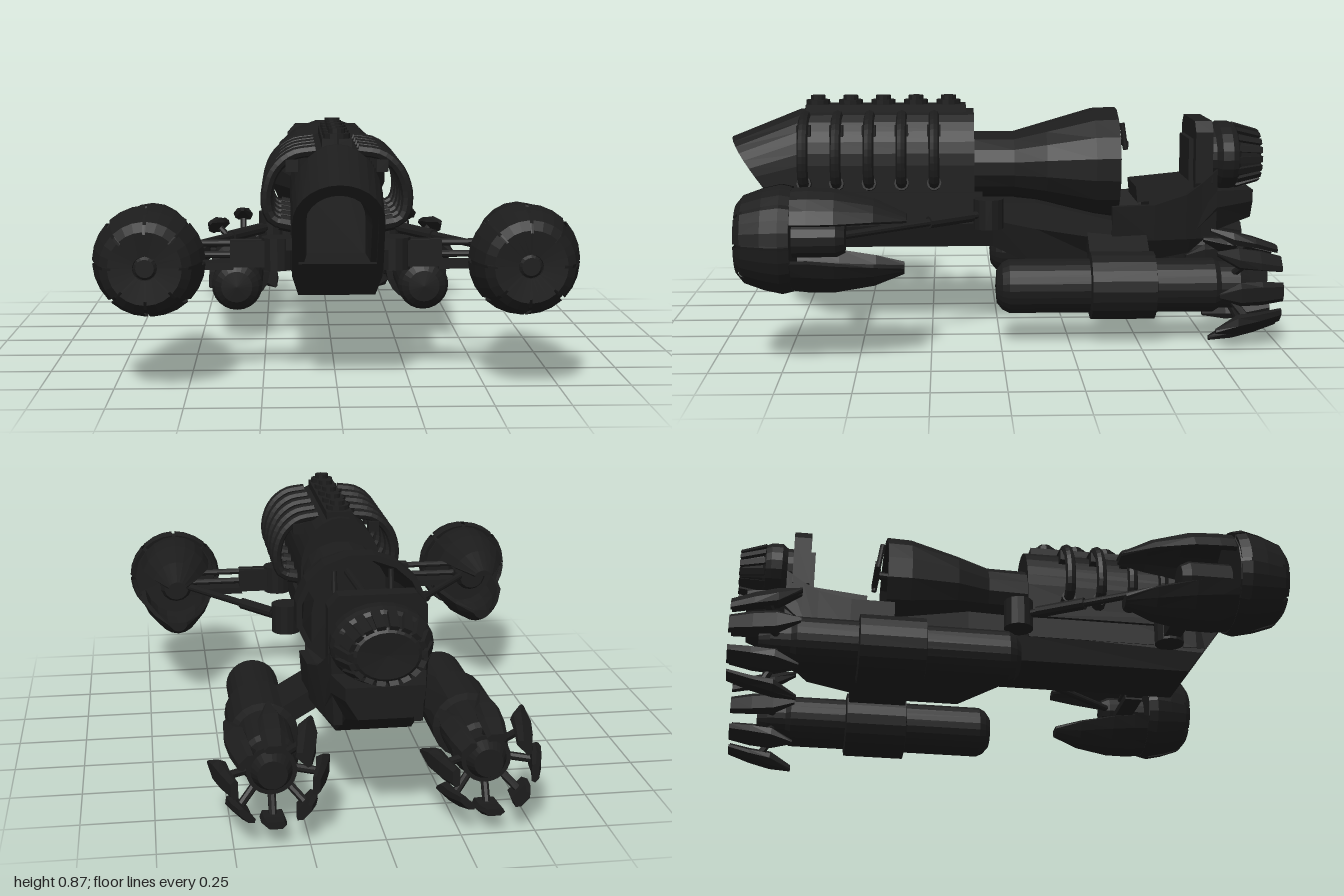
import * as THREE from 'three';

const mat = new THREE.MeshStandardMaterial({ color: 0x1c1c1c, flatShading: true, side: THREE.DoubleSide });
const V = (x, y, z) => new THREE.Vector3(x, y, z);

function add(parent, name, geo, x = 0, y = 0, z = 0) {
  const m = new THREE.Mesh(geo, mat);
  m.name = name;
  m.position.set(x, y, z);
  parent.add(m);
  return m;
}
const box = (p, name, w, h, d, x, y, z) => add(p, name, new THREE.BoxGeometry(w, h, d), x, y, z);

// Skin over rings of points, listed back to front, each counter-clockwise seen from the front
function loft(rings, capBack = true, capFront = true) {
  const n = rings[0].length, pos = rings.flat(2), idx = [];
  for (let i = 0; i < rings.length - 1; i++) for (let j = 0; j < n; j++) {
    const a = i * n + j, b = i * n + (j + 1) % n;
    idx.push(a, b, b + n, a, b + n, a + n);
  }
  const last = (rings.length - 1) * n;
  for (let j = 1; j < n - 1; j++) {
    if (capBack) idx.push(0, j + 1, j);
    if (capFront) idx.push(last, last + j, last + j + 1);
  }
  const g = new THREE.BufferGeometry();
  g.setAttribute('position', new THREE.Float32BufferAttribute(pos, 3));
  g.setIndex(idx);
  g.computeVertexNormals();
  return g;
}
// Turned shape along z from [radius, z] pairs
const turned = (pts, seg = 20, start = 0, len = Math.PI * 2) =>
  new THREE.LatheGeometry(pts.map(p => new THREE.Vector2(p[0], p[1])), seg, start, len).rotateX(Math.PI / 2);

function rod(p, name, a, b, r, seg = 10) {
  const m = add(p, name, new THREE.CylinderGeometry(r, r, a.distanceTo(b), seg));
  m.position.copy(a).add(b).multiplyScalar(0.5);
  m.quaternion.setFromUnitVectors(V(0, 1, 0), b.clone().sub(a).normalize());
  return m;
}
// Depth of the slanted nose at a given height
const slant = y => 0.89 + (y - 0.56) * 0.72;
const flat = z => () => z;

function trapezoid(zAt, bottom, top, wb, wt) {
  const mid = bottom + (top - bottom) * 0.6;
  return [[wb, bottom], [wt, mid], [wt, top], [-wt, top], [-wt, mid], [-wb, bottom]].map(([x, y]) => [x, y, zAt(y)]);
}
function arch(w, bottom, spring, top, zAt) {
  const pts = [[w, bottom]];
  for (let i = 0; i <= 14; i++) {
    const a = Math.PI * i / 14;
    pts.push([w * Math.cos(a), spring + (top - spring) * Math.sin(a)]);
  }
  pts.push([-w, bottom]);
  return pts.map(([x, y]) => [x, y, zAt(y)]);
}
function oval(rx, ry, cy, z, n = 16) {
  return Array.from({ length: n }, (_, i) => {
    const a = (i + 0.5) / n * Math.PI * 2;
    return [rx * Math.cos(a), cy + ry * Math.sin(a), z];
  });
}

function buildBody(g) {
  // Lower hull and tail block
  add(g, 'hull', loft([
    trapezoid(flat(-0.96), 0.41, 0.52, 0.09, 0.13), trapezoid(flat(-0.82), 0.36, 0.52, 0.11, 0.16),
    trapezoid(flat(-0.72), 0.28, 0.4, 0.13, 0.175), trapezoid(flat(-0.45), 0.23, 0.41, 0.14, 0.205),
    trapezoid(flat(-0.14), 0.23, 0.48, 0.14, 0.165), trapezoid(flat(0.02), 0.31, 0.48, 0.13, 0.155),
    trapezoid(slant, 0.31, 0.43, 0.13, 0.15)]));
  // Hood with slanted, hollow intake and a stepped frame
  add(g, 'hood', loft([
    arch(0.155, 0.4, 0.62, 0.82, flat(0.09)), arch(0.155, 0.4, 0.62, 0.82, flat(0.74)),
    arch(0.15, 0.4, 0.58, 0.715, slant), arch(0.13, 0.41, 0.575, 0.695, slant),
    arch(0.13, 0.41, 0.575, 0.695, y => slant(y) - 0.03), arch(0.11, 0.42, 0.57, 0.675, y => slant(y) - 0.03),
    arch(0.1, 0.43, 0.56, 0.66, flat(0.64))]));
  // Spine with caps
  box(g, 'spine', 0.1, 0.03, 0.6, 0, 0.822, 0.42);
  for (let i = 0; i < 5; i++) {
    const z = 0.185 + i * 0.123;
    add(g, 'spineCap', new THREE.CylinderGeometry(0.045, 0.045, 0.035, 12), 0, 0.836, z);
    add(g, 'spineCapTop', new THREE.CylinderGeometry(0.028, 0.028, 0.02, 12), 0, 0.86, z);
  }
  // Hood pipes and rail on both sides
  for (const s of [1, -1]) {
    for (let i = 0; i < 5; i++) {
      const z = 0.24 + i * 0.12;
      const c = new THREE.CatmullRomCurve3([[0.07, 0.8], [0.15, 0.785], [0.21, 0.73], [0.235, 0.64], [0.215, 0.57], [0.13, 0.55]]
        .map(([x, y]) => V(s * x, y, z)));
      add(g, 'hoodPipe', new THREE.TubeGeometry(c, 18, 0.02, 8));
      rod(g, 'pipeCollar', V(s * 0.14, 0.55, z), V(s * 0.19, 0.56, z), 0.027);
      box(g, 'pipeRib', 0.04, 0.04, 0.05, s * 0.15, 0.75, z);
    }
    box(g, 'hoodRail', 0.03, 0.04, 0.76, s * 0.155, 0.5, 0.44);
  }
}

function buildCockpit(g) {
  // Flared cowl, hollow at the back
  add(g, 'cowl', loft([
    oval(0.15, 0.11, 0.61, -0.08), oval(0.18, 0.14, 0.61, -0.2), oval(0.215, 0.19, 0.61, -0.45), oval(0.235, 0.212, 0.61, -0.45),
    oval(0.235, 0.208, 0.61, -0.36), oval(0.2, 0.155, 0.61, -0.18),
    oval(0.158, 0.125, 0.605, -0.06), oval(0.15, 0.125, 0.605, 0.1)]));
  // Steering column and yoke
  rod(g, 'steeringColumn', V(0, 0.66, -0.1), V(0, 0.69, -0.48), 0.015);
  box(g, 'yokeBar', 0.2, 0.02, 0.02, 0, 0.69, -0.48);
  for (const s of [1, -1]) {
    rod(g, 'yokeGrip', V(s * 0.1, 0.67, -0.48), V(s * 0.1, 0.77, -0.465), 0.01);
    // Rising side walls
    const wall = [[-0.82, 0.6, 0.16], [-0.76, 0.55, 0.175], [-0.7, 0.51, 0.19], [-0.58, 0.475, 0.21], [-0.42, 0.47, 0.22]]
      .map(([z, top, x]) => {
        const ring = [[x - 0.01, 0.34, z], [x, top, z], [x - 0.03, top, z], [x - 0.04, 0.34, z]];
        return s > 0 ? ring : ring.map(([px, py, pz]) => [-px, py, pz]).reverse();
      });
    add(g, 'cockpitWall', loft(wall));
  }
  // Seat
  const cushion = box(g, 'seatCushion', 0.26, 0.06, 0.24, 0, 0.515, -0.64);
  cushion.rotation.x = 0.1;
  box(g, 'seatBase', 0.22, 0.12, 0.18, 0, 0.44, -0.66);
  const back = [[0.12, 0.42], [0.165, 0.55], [0.165, 0.74], [0.13, 0.78], [-0.13, 0.78], [-0.165, 0.74], [-0.165, 0.55], [-0.12, 0.42]];
  add(g, 'seatBack', loft([-0.8, -0.735].map(z => back.map(([x, y]) => [x, y, z]))));
  box(g, 'seatBackPad', 0.22, 0.18, 0.02, 0, 0.62, -0.728);
}

function buildTailDrum(g) {
  const drum = new THREE.Group();
  drum.name = 'tailDrum';
  drum.position.set(0, 0.635, 0);
  drum.scale.set(1, 0.78, 1);
  g.add(drum);
  add(drum, 'drumShell', turned([[0, -0.99], [0.1, -0.995], [0.118, -0.985], [0.145, -0.91], [0.16, -0.9],
    [0.17, -0.88], [0.17, -0.84], [0.15, -0.82], [0.15, -0.78], [0, -0.78]], 24));
  for (let i = 0; i < 18; i++) {
    const spoke = new THREE.Group();
    spoke.rotation.z = i / 18 * Math.PI * 2;
    drum.add(spoke);
    box(spoke, 'drumRib', 0.025, 0.03, 0.1, 0.134, 0, -0.945).rotation.y = 0.36;
  }
}

// Curved shell band of a pod; sign +1 is the upper one. Stations are [z, rx, ry, edge height]
function podShell(sign, stations) {
  return loft(stations.map(([z, rx, ry, edge]) => {
    const a0 = Math.asin(edge / ry), arc = k => Array.from({ length: 9 }, (_, i) => {
      const a = a0 + (Math.PI - 2 * a0) * i / 8;
      return [rx * k * Math.cos(a), sign * ry * k * Math.sin(a), z];
    });
    const ring = [...arc(1), ...arc(0.88).reverse()];
    return sign > 0 ? ring : ring.reverse();
  }));
}

// Clam-shaped front pod, left side
function buildPod(g) {
  const pod = new THREE.Group();
  pod.name = 'frontPod';
  pod.position.set(0.625, 0.435, 0);
  g.add(pod);
  add(pod, 'upperShell', podShell(1, [[0.33, 0.058, 0.085, 0.065], [0.44, 0.108, 0.138, 0.07],
    [0.57, 0.147, 0.172, 0.07], [0.66, 0.152, 0.178, 0.07], [0.76, 0.155, 0.172, 0.07]]));
  add(pod, 'lowerShell', podShell(-1, [[0.34, 0.058, 0.125, 0.1], [0.44, 0.108, 0.165, 0.085],
    [0.57, 0.147, 0.186, 0.07], [0.66, 0.152, 0.186, 0.06], [0.76, 0.155, 0.172, 0.06]]));
  // Nose cap with eight petals
  add(pod, 'podNose', turned([[0, 0.72], [0.165, 0.715], [0.178, 0.75], [0.165, 0.81], [0.14, 0.875], [0.11, 0.895],
    [0.04, 0.89], [0.03, 0.9], [0, 0.9]], 16));
  for (let i = 0; i < 8; i++) {
    add(pod, 'podPetal', turned([[0.16, 0.72], [0.18, 0.715], [0.188, 0.75], [0.175, 0.81], [0.15, 0.88], [0.12, 0.905],
      [0.04, 0.9], [0.035, 0.88]], 3, i * Math.PI / 4 + 0.04, Math.PI / 4 - 0.08));
  }
  add(pod, 'podCore', turned([[0, 0.54], [0.05, 0.54], [0.065, 0.57], [0.065, 0.73]], 14));
}

function buildStruts(g) {
  // Stepped cross arm
  add(g, 'armMount', new THREE.CylinderGeometry(0.055, 0.055, 0.11, 14), 0.2, 0.44, 0.62);
  box(g, 'armRoot', 0.16, 0.09, 0.065, 0.28, 0.44, 0.62);
  box(g, 'armMiddle', 0.24, 0.025, 0.07, 0.47, 0.4, 0.62);
  for (const y of [0.435, 0.475]) rod(g, 'armRod', V(0.2, y, 0.62), V(0.62, y, 0.62), 0.012);
  // Diagonal brace with sleeve
  const a = V(0.22, 0.45, 0.04), b = V(0.58, 0.435, 0.56);
  add(g, 'braceMount', new THREE.CylinderGeometry(0.055, 0.055, 0.11, 14), 0.22, 0.45, 0.04);
  box(g, 'braceBracket', 0.1, 0.07, 0.08, 0.17, 0.45, 0.04);
  rod(g, 'brace', a, b, 0.014);
  rod(g, 'braceSleeve', a.clone().lerp(b, 0.12), a.clone().lerp(b, 0.42), 0.022);
}

// Rear thruster with a crown of blades, left side
function buildThruster(g) {
  const t = new THREE.Group();
  t.name = 'thruster';
  t.position.set(0.362, 0.207, 0);
  g.add(t);
  add(t, 'thrusterBody', turned([[0, -0.9], [0.05, -0.9], [0.07, -0.86], [0.085, -0.86], [0.085, -0.79], [0.098, -0.77],
    [0.098, -0.03], [0.085, -0.005], [0.06, 0.015], [0, 0.02]], 24));
  add(t, 'thrusterCollar', turned([[0.095, -0.56], [0.123, -0.555], [0.123, -0.325], [0.095, -0.32]], 20));
  for (let i = 0; i < 8; i++) {
    const spoke = new THREE.Group();
    spoke.rotation.z = i * Math.PI / 4;
    t.add(spoke);
    const blade = [[-1, 0.12, 0.145, 0.034], [-0.92, 0.14, 0.173, 0.042], [-0.84, 0.15, 0.194, 0.042], [-0.76, 0.192, 0.207, 0.008]]
      .map(([z, r0, r1, w]) => [[r0, -w * 0.8, z], [(r0 + r1) / 2, -w, z], [r1, -w * 0.6, z], [r1, w * 0.6, z], [(r0 + r1) / 2, w, z], [r0, w * 0.8, z]]);
    add(spoke, 'blade', loft(blade));
    rod(spoke, 'bladeArm', V(0.06, 0, -0.83), V(0.15, 0, -0.88), 0.014, 8);
  }
  // Pylon to the hull
  const pylon = [-0.55, -0.33].map(z => [[0.16, 0.31, z], [0.28, 0.24, z], [0.31, 0.3, z], [0.19, 0.37, z]]);
  add(g, 'thrusterPylon', loft(pylon));
}

export function createModel() {
  const model = new THREE.Group();
  model.name = 'racer';
  const body = new THREE.Group();
  body.name = 'body';
  model.add(body);
  buildBody(body);
  buildCockpit(body);
  buildTailDrum(body);
  for (const s of [1, -1]) {
    const side = new THREE.Group();
    side.name = s > 0 ? 'leftSide' : 'rightSide';
    side.scale.x = s;
    model.add(side);
    buildPod(side);
    buildStruts(side);
    buildThruster(side);
  }
  return model;
}
